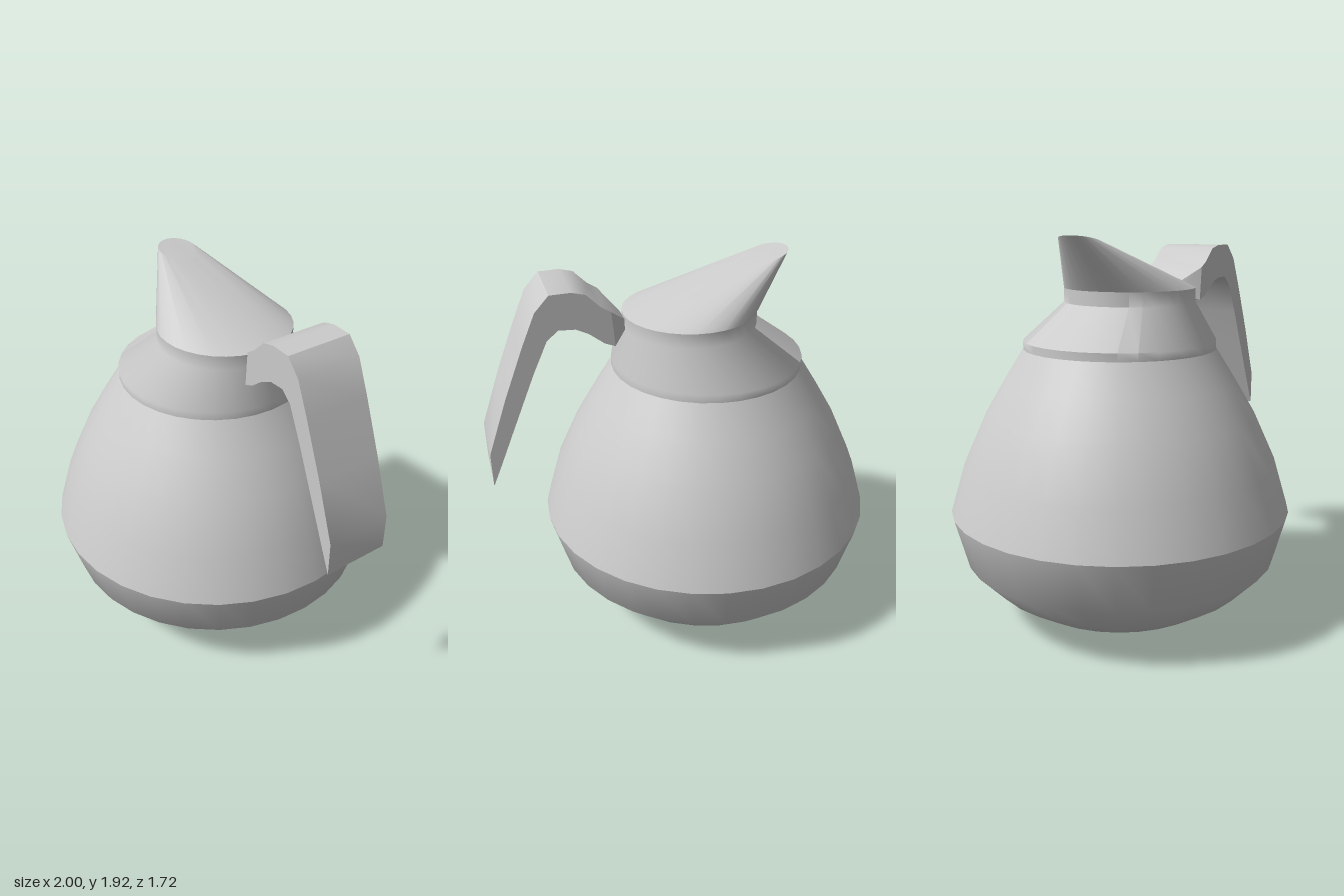
import * as THREE from 'three';
import { toCreasedNormals } from 'three/addons/utils/BufferGeometryUtils.js';
import { ConvexGeometry } from 'three/addons/geometries/ConvexGeometry.js';

const SIDES = 32;
const BODY_X = -0.14;                    // axis of the belly
const NECK = { x: -0.05, z: 0.015, r: 0.33 };
const TIP = { x: -0.44, z: -0.065, r: 0.1, y: 1.897, slope: -0.22 };

const material = new THREE.MeshStandardMaterial({ color: 0xcccccc, side: THREE.DoubleSide });

function addMesh(group, name, geometry, crease = 0.9) {
  const mesh = new THREE.Mesh(toCreasedNormals(geometry, crease), material);
  mesh.name = name;
  group.add(mesh);
}

// Turned surface from [radius, y] pairs, bottom to top
function turned(profile) {
  return new THREE.LatheGeometry(profile.map(([r, y]) => new THREE.Vector2(r, y)), SIDES);
}

// Shoulder that slides from the belly axis to the offset neck axis
function shoulderGeometry() {
  const geometry = turned([[0.48, 1.37], [0.48, 1.41], [NECK.r, 1.59], [NECK.r, 1.66]]);
  const p = geometry.attributes.position;
  for (let i = 0; i < p.count; i++) {
    const t = THREE.MathUtils.clamp((p.getY(i) - 1.41) / 0.18, 0, 1);
    p.setX(i, p.getX(i) + THREE.MathUtils.lerp(BODY_X, NECK.x, t));
    p.setZ(i, p.getZ(i) + NECK.z * t);
  }
  return geometry;
}

// Spout: skin stretched between the neck ring and a small tilted tip ring
function spoutGeometry() {
  const points = [];
  for (let i = 0; i < SIDES; i++) {
    const a = (i / SIDES) * Math.PI * 2;
    const c = Math.cos(a), s = Math.sin(a);
    points.push(new THREE.Vector3(NECK.x + NECK.r * c, 1.66, NECK.z + NECK.r * s));
    points.push(new THREE.Vector3(TIP.x + TIP.r * c, TIP.y + TIP.slope * TIP.r * c, TIP.z + TIP.r * s));
  }
  return new ConvexGeometry(points);
}

// Handle: a band of four-cornered sections swept out and down
function handleGeometry() {
  // outer distance, outer y, inner distance, inner y, half width
  const sections = [
    [0, 1.66, 0, 1.605, 0.06],
    [0.083, 1.745, 0.07, 1.575, 0.163],
    [0.13, 1.775, 0.12, 1.595, 0.163],
    [0.195, 1.84, 0.19, 1.65, 0.163],
    [0.26, 1.857, 0.25, 1.68, 0.163],
    [0.36, 1.855, 0.33, 1.685, 0.163],
    [0.43, 1.78, 0.385, 1.64, 0.163],
    [0.5, 1.62, 0.46, 1.48, 0.163],
    [0.6, 1.37, 0.57, 1.22, 0.163],
    [0.7, 1.09, 0.65, 1.03, 0.163],
    [0.7, 0.915, 0.7, 0.915, 0.163],
  ];
  const dx = 0.978, dz = 0.209;          // outward direction seen from above
  const positions = [], index = [];
  for (const [so, yo, si, yi, w] of sections) {
    for (const [s, y, k] of [[so, yo, w], [so, yo, -w], [si, yi, -w], [si, yi, w]]) {
      positions.push(0.278 + dx * s - dz * k, y, 0.09 + dz * s + dx * k);
    }
  }
  for (let i = 0; i < sections.length - 1; i++) {
    for (let j = 0; j < 4; j++) {
      const a = i * 4 + j, b = i * 4 + ((j + 1) % 4);
      index.push(a, a + 4, b + 4, a, b + 4, b);
    }
  }
  index.push(0, 1, 2, 0, 2, 3);          // cap at the neck
  const geometry = new THREE.BufferGeometry();
  geometry.setAttribute('position', new THREE.Float32BufferAttribute(positions, 3));
  geometry.setIndex(index);
  return geometry;
}

export function createModel() {
  const group = new THREE.Group();
  group.name = 'jug';

  // Belly in two halves, meeting at a crisp seam
  const bowl = turned([[0, 0], [0.19, 0], [0.505, 0.07], [0.66, 0.17], [0.795, 0.31], [0.862, 0.56]]);
  addMesh(group, 'lowerBowl', bowl.translate(BODY_X, 0, 0));
  const upper = turned([[0.862, 0.56], [0.79, 0.8], [0.68, 1.04], [0.58, 1.21], [0.48, 1.37]]);
  addMesh(group, 'upperBody', upper.translate(BODY_X, 0, 0));

  addMesh(group, 'shoulder', shoulderGeometry());
  addMesh(group, 'spout', spoutGeometry(), 0.5);
  addMesh(group, 'handle', handleGeometry(), 0.75);
  return group;
}
